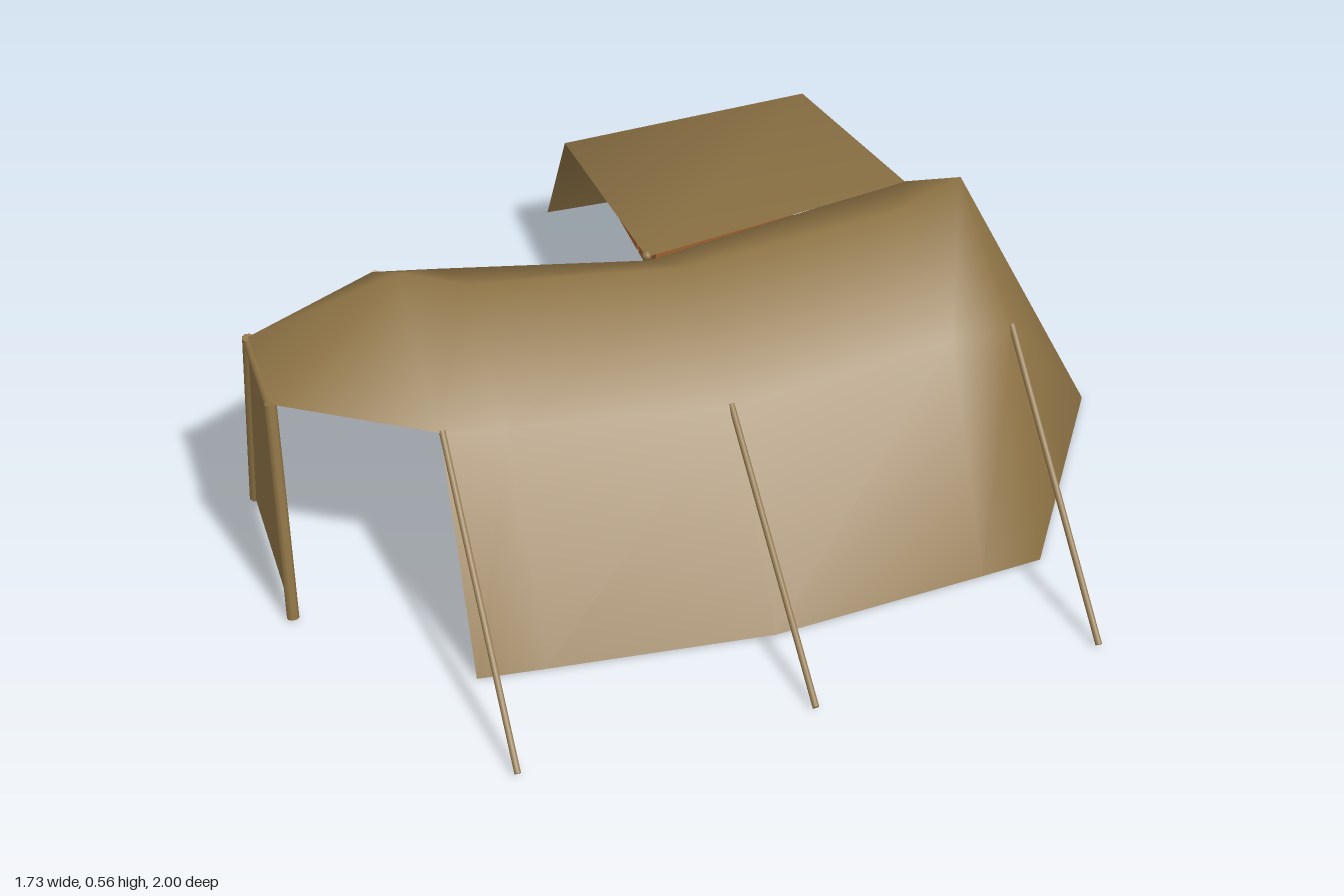
import * as THREE from 'three';

const canvas = new THREE.MeshStandardMaterial({ color: 0x8f7446, side: THREE.DoubleSide });
canvas.name = 'canvas';
const crateWood = new THREE.MeshStandardMaterial({ color: 0xa05f2e, side: THREE.DoubleSide });
crateWood.name = 'crateWood';

// Smooth cloth from points [along, up, across] and triangle corners
function cloth(name, points, faces) {
  const g = new THREE.BufferGeometry();
  g.setAttribute('position', new THREE.Float32BufferAttribute(points.flat(), 3));
  g.setIndex(faces.flat());
  g.computeVertexNormals();
  const m = new THREE.Mesh(g, canvas);
  m.name = name;
  return m;
}

// Faces of a grid of points: rows along x, columns along z
function gridFaces(rows, cols) {
  const f = [];
  for (let i = 0; i < rows - 1; i++) {
    for (let j = 0; j < cols - 1; j++) {
      const a = i * cols + j;
      f.push([a, a + 1, a + cols], [a + 1, a + cols + 1, a + cols]);
    }
  }
  return f;
}

// Straight round bar between two points
function bar(name, from, to, radius, sides = 6) {
  const a = new THREE.Vector3(...from), b = new THREE.Vector3(...to);
  const m = new THREE.Mesh(new THREE.CylinderGeometry(radius, radius, a.distanceTo(b), sides), canvas);
  m.position.copy(a).add(b).multiplyScalar(0.5);
  m.quaternion.setFromUnitVectors(new THREE.Vector3(0, 1, 0), b.sub(a).normalize());
  m.name = name;
  return m;
}

// Crate without a bottom
function crate(name, x, y, z, w, h, d) {
  const g = new THREE.BoxGeometry(w, h, d);
  const idx = Array.from(g.index.array);
  idx.splice(18, 6);
  g.setIndex(idx);
  g.clearGroups();
  const m = new THREE.Mesh(g, crateWood);
  m.position.set(x, y + h / 2, z);
  m.name = name;
  return m;
}

export function createModel() {
  const model = new THREE.Group();
  model.name = 'tent';
  const camp = new THREE.Group();
  camp.name = 'camp';
  camp.rotation.y = 0.705;
  camp.position.set(-0.005, 0, 0.115);
  model.add(camp);

  // Tent body: [along, ridge height, shoulder half width, shoulder height, base half width]
  const sections = [
    [-0.53, 0.56, 0.27, 0.4, 0.45],
    [-0.41, 0.512, 0.267, 0.385, 0.462],
    [0, 0.468, 0.255, 0.33, 0.5],
    [0.41, 0.512, 0.267, 0.385, 0.462],
    [0.53, 0.56, 0.27, 0.4, 0.45],
  ];
  const pts = [];
  for (const [u, ridge, s, sy, b] of sections) {
    pts.push([u, 0, -b], [u, sy, -s], [u, ridge, 0], [u, sy, s], [u, 0, b]);
  }
  const faces = gridFaces(sections.length, 5);
  // Pointed closed end
  const last = (sections.length - 1) * 5;
  const tip = pts.push([0.82, 0, 0]) - 1;
  for (let j = 0; j < 4; j++) faces.push([last + j, last + j + 1, tip]);
  // Entrance canopy
  const cl = pts.push([-0.79, 0.41, -0.11]) - 1;
  const cr = pts.push([-0.79, 0.41, 0.11]) - 1;
  faces.push([2, 1, cl], [2, cl, cr], [3, 2, cr]);
  camp.add(cloth('tentCloth', pts, faces));

  // Entrance screen with its poles
  camp.add(cloth('entranceScreen',
    [[-0.792, 0.4, -0.11], [-0.792, 0.4, 0.11], [-0.8, 0, -0.185], [-0.8, 0, 0.185]],
    [[0, 2, 1], [1, 2, 3]]));
  for (const s of [-1, 1]) {
    camp.add(bar('entrancePole', [-0.79, 0.41, 0.108 * s], [-0.8, 0, 0.187 * s], 0.011, 8));
  }
  camp.add(bar('entranceTopPole', [-0.79, 0.4, -0.108], [-0.79, 0.4, 0.108], 0.009, 8));

  // Side awning reaching the ground, with a knob at its near corner
  const awning = [];
  for (const [u, y0, y1] of [[0, 0.335, 0.267], [0.53, 0.404, 0.295]]) {
    awning.push([u, 0, -1.02], [u, y1, -0.85], [u, y0, -0.26]);
  }
  camp.add(cloth('sideAwning', awning, gridFaces(2, 3)));
  const knob = new THREE.Mesh(new THREE.SphereGeometry(0.01, 8, 6), canvas);
  knob.position.set(0, 0.338, -0.26);
  knob.name = 'awningKnob';
  camp.add(knob);

  // Guy ropes
  for (const [u, y, v, s] of [
    [-0.525, 0.4, 0.265, 1], [0, 0.33, 0.25, 1], [0.528, 0.4, 0.265, 1], [-0.525, 0.4, 0.265, -1],
  ]) {
    camp.add(bar('guyRope', [u, y, v * s], [u, 0.004, 0.707 * s], 0.006));
  }

  // Crates under the awning
  camp.add(crate('innerCrate', 0.297, 0, -0.733, 0.31, 0.09, 0.13));
  camp.add(crate('outerCrate', 0.297, 0, -0.873, 0.31, 0.09, 0.13));
  camp.add(crate('topCrate', 0.29, 0.093, -0.725, 0.31, 0.077, 0.13));

  return model;
}
